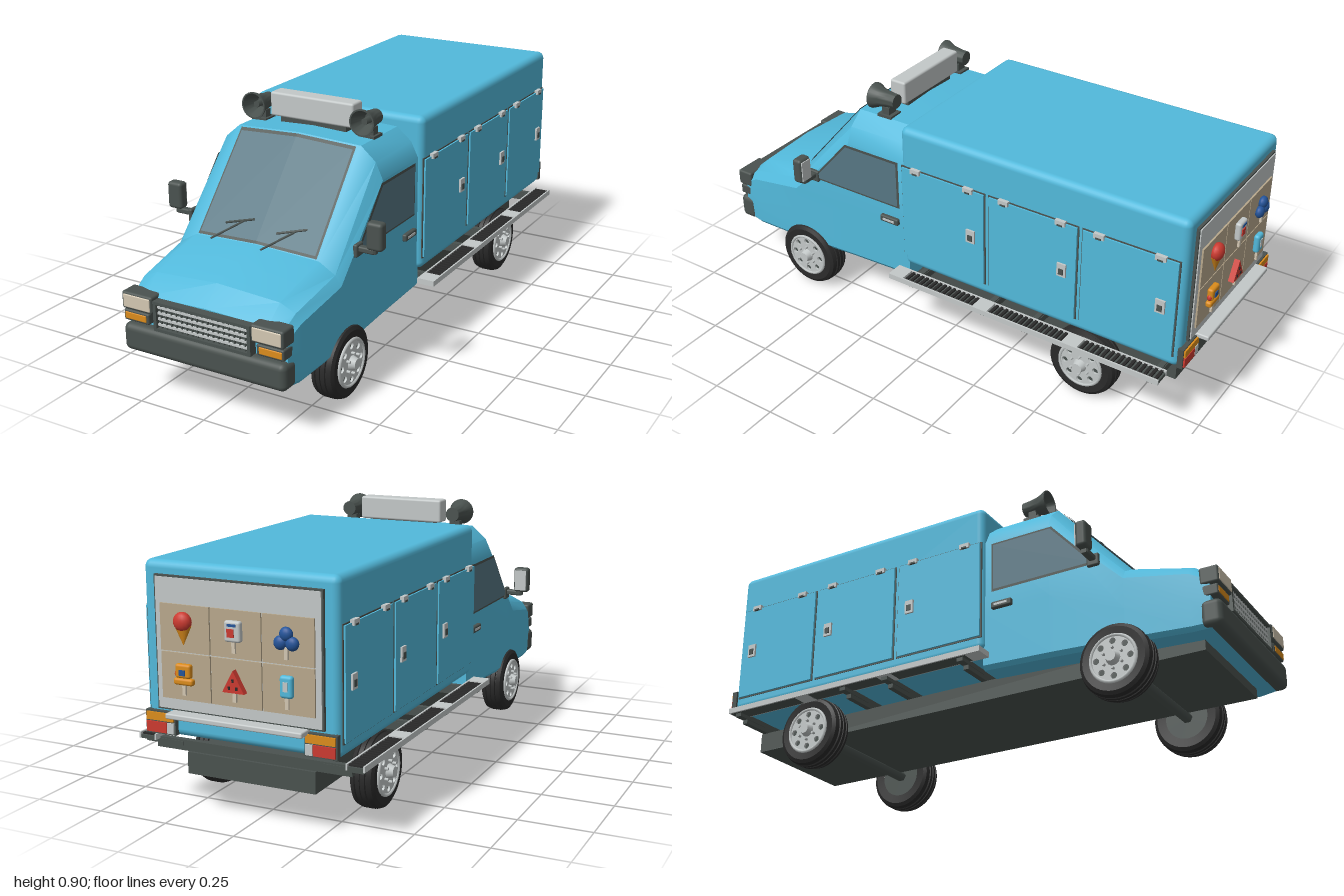
import * as THREE from 'three';
import { toCreasedNormals } from 'three/addons/utils/BufferGeometryUtils.js';
import { RoundedBoxGeometry } from 'three/addons/geometries/RoundedBoxGeometry.js';

const paint = (name, color, side = THREE.FrontSide) => {
  const m = new THREE.MeshStandardMaterial({ color, side });
  m.name = name;
  return m;
};
const body = paint('body blue', 0x52b9db);
const glass = paint('window glass', 0x567683, THREE.DoubleSide);
const trim = paint('dark trim', 0x4a524f, THREE.DoubleSide);
const rubber = paint('black rubber', 0x2a2a2a);
const metal = paint('light metal', 0xc3c8c8);
const tan = paint('tan panel', 0xb8a88c);
const cream = paint('lamp cream', 0xd3c7b2);
const orange = paint('amber', 0xdb8c1c);
const red = paint('red', 0xcc3a30);
const navy = paint('navy', 0x24549a);

export function createModel() {
  const root = new THREE.Group();
  const add = (name, geo, mat, x = 0, y = 0, z = 0, parent = root) => {
    const m = new THREE.Mesh(geo, mat);
    m.name = name;
    m.position.set(x, y, z);
    parent.add(m);
    return m;
  };
  const box = (name, mat, w, h, d, x, y, z, parent = root) =>
    add(name, new THREE.BoxGeometry(w, h, d), mat, x, y, z, parent);
  const soft = (name, mat, w, h, d, r, x, y, z, parent = root) =>
    add(name, new RoundedBoxGeometry(w, h, d, 3, r), mat, x, y, z, parent);
  const rod = (name, mat, r, a, b, parent = root) =>
    add(name, new THREE.TubeGeometry(new THREE.LineCurve3(new THREE.Vector3(...a), new THREE.Vector3(...b)), 1, r, 6), mat, 0, 0, 0, parent);
  const shapeOf = pts => new THREE.Shape(pts.map(p => new THREE.Vector2(...p)));
  const group = name => {
    const g = new THREE.Group();
    g.name = name;
    root.add(g);
    return g;
  };

  // Cab: half cross-sections lofted from the cargo box to the nose
  const sections = [
    [0.15, [[0.31, 0.205], [0.322, 0.22], [0.322, 0.42], [0.322, 0.69], [0.295, 0.745], [0.24, 0.79], [0, 0.8]]],
    [0.41, [[0.31, 0.195], [0.322, 0.21], [0.322, 0.42], [0.322, 0.685], [0.295, 0.743], [0.24, 0.79], [0, 0.8]]],
    [0.68, [[0.31, 0.18], [0.322, 0.195], [0.322, 0.3], [0.322, 0.41], [0.3, 0.445], [0.24, 0.48], [0, 0.49]]],
    [0.9, [[0.3, 0.17], [0.312, 0.185], [0.315, 0.28], [0.31, 0.37], [0.29, 0.4], [0.235, 0.425], [0, 0.438]]],
    [0.965, [[0.29, 0.175], [0.3, 0.19], [0.302, 0.27], [0.3, 0.335], [0.28, 0.355], [0.23, 0.368], [0, 0.375]]],
  ];
  const pos = [], idx = [];
  sections.forEach(([z, half]) => {
    const ring = [...half, ...half.slice(0, -1).reverse().map(([x, y]) => [-x, y])];
    ring.forEach(([x, y]) => pos.push(x, y, z));
  });
  const n = 13, last = (sections.length - 1) * n;
  for (let i = 0; i < sections.length - 1; i++)
    for (let j = 0; j < n; j++) {
      const a = i * n + j, b = i * n + (j + 1) % n;
      idx.push(a, b, b + n, a, b + n, a + n);
    }
  for (let j = 1; j < n - 1; j++) idx.push(0, j + 1, j, last, last + j, last + j + 1);
  const cabGeo = new THREE.BufferGeometry();
  cabGeo.setAttribute('position', new THREE.Float32BufferAttribute(pos, 3));
  cabGeo.setIndex(idx);
  add('cab', toCreasedNormals(cabGeo, 0.5), body);

  // Windscreen, draped on the sloping front of the cab
  const screenZ = (x, y) => 0.41 + (0.8 - 0.01 * Math.abs(x) / 0.24 - y) / 0.31 * 0.27;
  const drape = (name, pts, mat, lift) => [-1, 1].forEach(s => {
    const g = new THREE.ShapeGeometry(shapeOf(pts.map(([x, y]) => [x * s, y])));
    const p = g.attributes.position;
    for (let i = 0; i < p.count; i++) p.setZ(i, screenZ(p.getX(i), p.getY(i)) + lift);
    g.computeVertexNormals();
    add(name, g, mat);
  });
  drape('windscreenSeal', [[0, 0.493], [0.231, 0.485], [0.226, 0.787], [0, 0.797]], trim, 0.004);
  drape('windscreen', [[0, 0.502], [0.224, 0.494], [0.219, 0.779], [0, 0.789]], glass, 0.008);
  for (const x of [-0.17, 0.03]) {
    const at = (px, y) => [px, y, screenZ(px, y) + 0.016];
    rod('wiperArm', trim, 0.004, at(x, 0.484), at(x + 0.1, 0.547));
    rod('wiperBlade', trim, 0.004, at(x + 0.035, 0.533), at(x + 0.137, 0.557));
  }

  // Cargo box
  soft('cargoBox', body, 0.68, 0.56, 1.1, 0.025, 0, 0.555, -0.39);

  // Chassis
  box('chassis', trim, 0.46, 0.072, 1.8, 0, 0.172, 0.01);
  for (const z of [0.1, -0.21, -0.39, -0.87]) box('crossBeam', trim, 0.7, 0.035, 0.02, 0, 0.225, z);
  for (const z of [0.64, -0.58]) rod('axle', trim, 0.02, [-0.28, 0.13, z], [0.28, 0.13, z]);

  // Wheels
  const tyreProfile = [[0.078, -0.04], [0.11, -0.043], [0.122, -0.036], [0.127, -0.022], [0.123, -0.02], [0.123, -0.017],
    [0.128, -0.015], [0.128, -0.003], [0.124, -0.002], [0.124, 0.002], [0.128, 0.003], [0.128, 0.015],
    [0.123, 0.017], [0.123, 0.02], [0.127, 0.022], [0.122, 0.036], [0.11, 0.043], [0.083, 0.04]]
    .map(p => new THREE.Vector2(...p));
  const disc = new THREE.Shape().absarc(0, 0, 0.084, 0, Math.PI * 2);
  for (let i = 0; i < 8; i++) {
    const a = i * Math.PI / 4;
    disc.holes.push(new THREE.Path().absarc(0.06 * Math.cos(a), 0.06 * Math.sin(a), 0.011, 0, Math.PI * 2, true));
  }
  const rimGeo = new THREE.ExtrudeGeometry(disc, { depth: 0.008, bevelEnabled: false, curveSegments: 16 }).rotateX(-Math.PI / 2);
  for (const s of [-1, 1]) for (const z of [0.64, -0.58]) {
    const w = group('wheel');
    w.position.set(s * 0.292, 0.129, z);
    w.rotation.z = -s * Math.PI / 2;
    add('tyre', toCreasedNormals(new THREE.LatheGeometry(tyreProfile, 40), 0.6), rubber, 0, 0, 0, w);
    add('wheelWell', new THREE.CylinderGeometry(0.083, 0.083, 0.066, 32), trim, 0, 0, 0, w);
    add('rim', rimGeo, metal, 0, 0.036, 0, w);
    add('rimEdge', new THREE.TorusGeometry(0.08, 0.006, 6, 32).rotateX(Math.PI / 2), metal, 0, 0.043, 0, w);
    add('hub', new THREE.CylinderGeometry(0.018, 0.026, 0.024, 16), metal, 0, 0.054, 0, w);
    for (let i = 0; i < 6; i++) {
      const a = i * Math.PI / 3;
      add('wheelNut', new THREE.CylinderGeometry(0.005, 0.005, 0.014, 6), metal, 0.036 * Math.cos(a), 0.05, 0.036 * Math.sin(a), w);
    }
  }

  // Nose: bumper, grille and lamps
  soft('frontBumper', trim, 0.62, 0.095, 0.075, 0.022, 0, 0.222, 0.962);
  box('grilleBack', trim, 0.37, 0.1, 0.04, 0, 0.32, 0.96);
  for (const y of [0.274, 0.366]) box('grilleFrame', trim, 0.37, 0.01, 0.03, 0, y, 0.98);
  for (let i = 0; i < 4; i++) box('grilleBar', metal, 0.345, 0.008, 0.01, 0, 0.29 + i * 0.02, 0.982);
  for (let i = 0; i < 17; i++) box('grilleRib', trim, 0.004, 0.085, 0.008, -0.16 + i * 0.02, 0.32, 0.982);
  for (const s of [-1, 1]) {
    box('grilleSide', trim, 0.012, 0.1, 0.03, s * 0.179, 0.32, 0.98);
    soft('headlampHousing', trim, 0.12, 0.06, 0.065, 0.008, s * 0.247, 0.352, 0.965);
    soft('headlamp', cream, 0.106, 0.046, 0.01, 0.004, s * 0.247, 0.352, 0.995);
    soft('indicatorHousing', trim, 0.1, 0.038, 0.055, 0.006, s * 0.255, 0.299, 0.965);
    soft('indicator', orange, 0.084, 0.024, 0.01, 0.003, s * 0.257, 0.299, 0.99);
  }

  // Roof: light bar and horn speakers
  soft('roofSign', metal, 0.328, 0.085, 0.065, 0.008, 0, 0.857, 0.298);
  box('roofSignBase', trim, 0.26, 0.03, 0.04, 0, 0.805, 0.298);
  const hornProfile = [[0, -0.05], [0.026, -0.05], [0.028, -0.02], [0.034, 0.015], [0.047, 0.045], [0.047, 0.05], [0.042, 0.05], [0.02, -0.01], [0, -0.01]]
    .map(p => new THREE.Vector2(...p));
  for (const s of [-1, 1]) {
    const horn = group('hornSpeaker');
    horn.position.set(s * 0.214, 0.85, 0.312);
    add('horn', toCreasedNormals(new THREE.LatheGeometry(hornProfile, 28).rotateX(Math.PI / 2), 0.6), trim, 0, 0, 0, horn);
    add('hornCore', new THREE.CylinderGeometry(0.012, 0.014, 0.04, 6).rotateX(Math.PI / 2), trim, 0, 0, 0.01, horn);
    box('hornStand', trim, 0.04, 0.04, 0.03, 0, -0.045, -0.012, horn);
    box('hornFoot', trim, 0.058, 0.012, 0.06, 0, -0.058, -0.012, horn);
  }

  // Both flanks: side windows, mirrors, locker doors and running boards
  const flat = (name, pts, mat, s, x) =>
    add(name, new THREE.ShapeGeometry(shapeOf(pts.map(([z, y]) => [-z, y]))).rotateY(Math.PI / 2), mat, s * x);
  for (const s of [-1, 1]) {
    flat('sideWindowSeal', [[0.185, 0.49], [0.588, 0.49], [0.423, 0.679], [0.185, 0.679]], trim, s, 0.325);
    flat('sideWindow', [[0.193, 0.498], [0.572, 0.498], [0.419, 0.671], [0.193, 0.671]], glass, s, 0.328);
    soft('doorHandle', trim, 0.018, 0.026, 0.08, 0.006, s * 0.328, 0.432, 0.228);
    box('doorHandleInset', metal, 0.006, 0.008, 0.05, s * 0.336, 0.432, 0.228);
    soft('mirror', trim, 0.058, 0.096, 0.04, 0.012, s * 0.391, 0.562, 0.578);
    box('mirrorGlass', metal, 0.044, 0.078, 0.004, s * 0.391, 0.562, 0.557);
    soft('mirrorArm', trim, 0.075, 0.02, 0.025, 0.006, s * 0.352, 0.508, 0.578);
    soft('mirrorFoot', trim, 0.016, 0.045, 0.045, 0.006, s * 0.325, 0.503, 0.578);
    box('mirrorPost', trim, 0.014, 0.03, 0.018, s * 0.386, 0.515, 0.578);

    [-0.02, -0.383, -0.746].forEach((z, i) => {
      box('lockerGap', trim, 0.004, 0.37, 0.352, s * 0.34, 0.504, z);
      box('lockerDoor', body, 0.01, 0.36, 0.342, s * 0.343, 0.504, z);
      for (const dz of [0.11, -0.11]) {
        box('lockerHinge', metal, 0.014, 0.018, 0.038, s * 0.349, 0.685, z + dz);
        box('lockerHingePin', trim, 0.008, 0.006, 0.02, s * 0.354, 0.678, z + dz);
      }
      box('lockerLatch', metal, 0.01, 0.05, 0.034, s * 0.35, 0.505, z - 0.12);
      box('lockerLatchGrip', trim, 0.008, 0.022, 0.018, s * 0.354, 0.5, z - 0.12);
      // Grated tread with metal joints
      const tz = 0.155 - i * 0.362;
      box('boardJoint', metal, 0.062, 0.02, 0.06, s * 0.371, 0.246, tz);
      box('boardGrate', trim, 0.055, 0.012, 0.304, s * 0.37, 0.242, tz - 0.182);
      for (let k = 0; k < 15; k++) box('treadBar', rubber, 0.05, 0.01, 0.01, s * 0.37, 0.249, tz - 0.042 - k * 0.02);
    });
    box('boardRail', metal, 0.006, 0.02, 1.09, s * 0.401, 0.246, -0.36);
    box('boardInnerRail', metal, 0.006, 0.02, 1.09, s * 0.342, 0.246, -0.36);
    for (const z of [0.1, -0.21, -0.39, -0.87]) box('boardBracket', trim, 0.14, 0.014, 0.025, s * 0.32, 0.23, z);

    // Tail lamps
    box('tailLampHousing', trim, 0.11, 0.075, 0.02, s * 0.283, 0.318, -0.945);
    box('tailIndicator', orange, 0.1, 0.026, 0.012, s * 0.283, 0.338, -0.955);
    box('tailLamp', red, 0.074, 0.034, 0.012, s * 0.296, 0.303, -0.955);
    box('reverseLamp', metal, 0.024, 0.034, 0.012, s * 0.245, 0.303, -0.955);
  }

  // Rear: menu board and serving shelf
  box('menuFrame', trim, 0.586, 0.43, 0.014, 0, 0.578, -0.943);
  box('menuBoard', metal, 0.574, 0.418, 0.014, 0, 0.578, -0.947);
  soft('rearShelf', metal, 0.48, 0.018, 0.055, 0.005, 0, 0.355, -0.968);
  box('rearShelfLip', metal, 0.48, 0.03, 0.008, 0, 0.35, -0.945);

  // Six treats, three per row, each on its own tan tile
  const tile = (col, row) => {
    const g = group('treat');
    g.position.set((1 - col) * 0.18, 0.632 - row * 0.153, -0.958);
    box('menuTile', tan, 0.176, 0.149, 0.008, 0, 0, 0.002, g);
    return g;
  };
  const stick = g => box('treatStick', cream, 0.012, 0.04, 0.008, 0, -0.036, -0.012, g);
  const ball = (g, mat, r, x, y) => add('scoop', new THREE.SphereGeometry(r, 16, 12).scale(1, 1, 0.7), mat, x, y, -0.012, g);

  const cone = tile(0, 0);
  add('wafer', new THREE.ConeGeometry(0.029, 0.062, 16).rotateX(Math.PI).scale(1, 1, 0.6), orange, 0, -0.02, -0.01, cone);
  ball(cone, red, 0.031, 0, 0.024);

  const cup = tile(1, 0);
  stick(cup);
  soft('paleIce', metal, 0.056, 0.066, 0.022, 0.008, 0, 0.012, -0.012, cup);
  box('paleIceStripe', red, 0.024, 0.026, 0.004, 0.004, 0.008, -0.024, cup);
  box('paleIceTop', navy, 0.03, 0.008, 0.004, 0, 0.032, -0.023, cup);

  const berries = tile(2, 0);
  stick(berries);
  [[-0.02, -0.006], [0.02, -0.006], [0, 0.022]].forEach(([x, y]) => ball(berries, navy, 0.022, x, y));

  const block = tile(0, 1);
  stick(block);
  soft('amberIce', orange, 0.055, 0.045, 0.022, 0.008, 0, 0.022, -0.012, block);
  soft('amberIceBase', orange, 0.07, 0.022, 0.022, 0.008, 0, -0.012, -0.012, block);
  box('amberIceSpot', navy, 0.022, 0.018, 0.004, 0, 0.018, -0.024, block);
  ball(block, red, 0.013, 0.02, 0.012);

  const slice = tile(1, 1);
  stick(slice);
  add('melonSlice', new THREE.ExtrudeGeometry(shapeOf([[-0.038, -0.025], [0.038, -0.025], [0, 0.045]]), { depth: 0.02, bevelEnabled: false }), red, 0, 0, -0.023, slice);
  for (const [x, y] of [[-0.013, -0.01], [0.013, -0.01], [0, 0.014]]) box('melonSeed', rubber, 0.006, 0.01, 0.004, x, y, -0.024, slice);

  const bar = tile(2, 1);
  stick(bar);
  soft('blueIce', body, 0.044, 0.07, 0.022, 0.01, 0, 0.014, -0.012, bar);
  box('blueIceStripe', metal, 0.016, 0.03, 0.004, 0, 0.016, -0.023, bar);

  return root;
}
